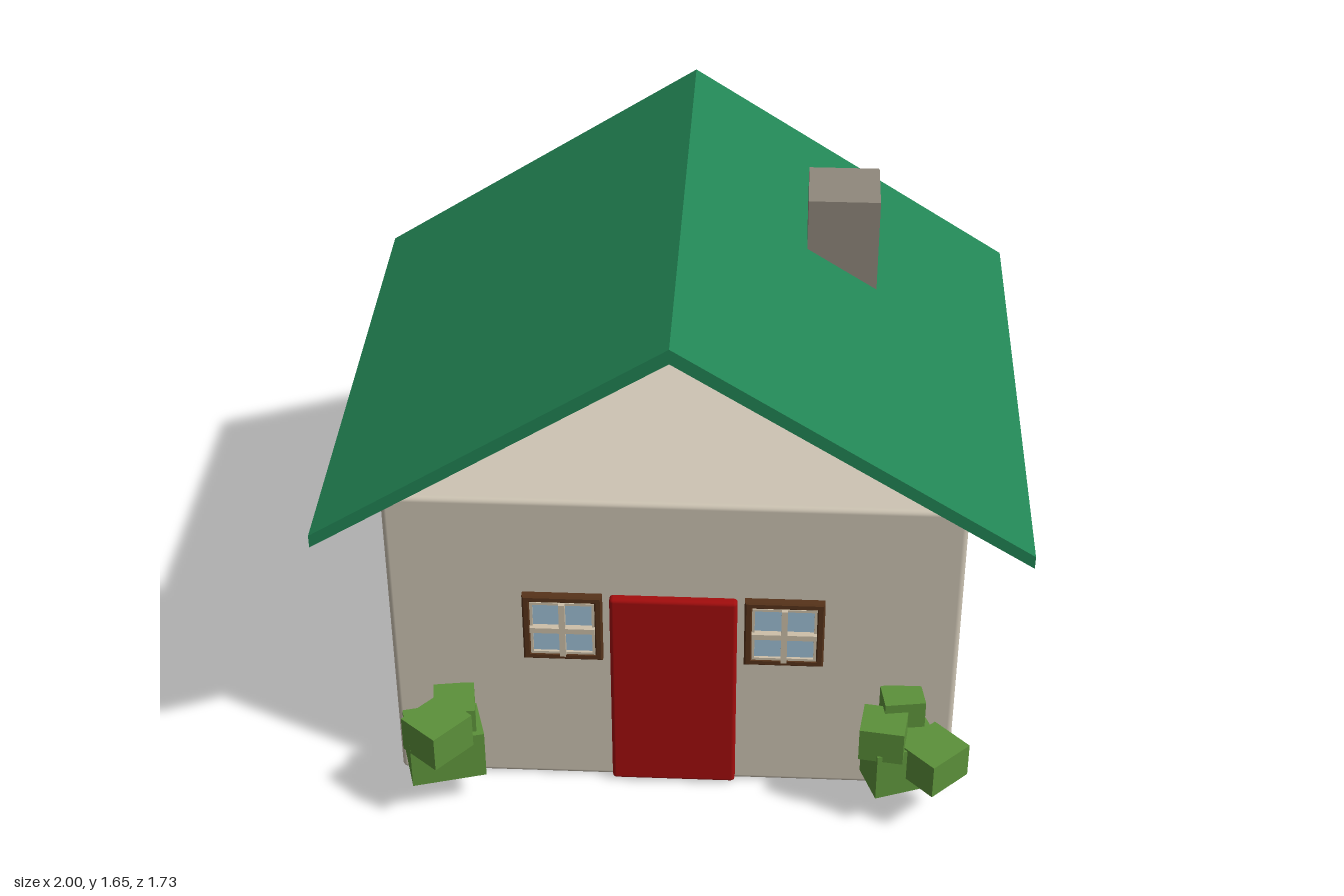
import * as THREE from 'three';
import { RoundedBoxGeometry } from 'three/addons/geometries/RoundedBoxGeometry.js';

const paint = (name, color) => {
  const m = new THREE.MeshStandardMaterial({ color });
  m.name = name;
  return m;
};

export function createModel() {
  const wall = paint('plaster', 0xcdc4b3);
  const green = paint('roof green', 0x228555);
  const stone = paint('chimney stone', 0x90887c);
  const red = paint('door red', 0xa30d0d);
  const brown = paint('frame brown', 0x56331a);
  const glass = paint('glass blue', 0x9fc0d6);
  const cream = paint('sash cream', 0xcdbfa8);
  const leaf = paint('leaf green', 0x5c913a);

  const house = new THREE.Group();
  house.name = 'house';

  const add = (parent, name, geometry, material, x = 0, y = 0, z = 0, yaw = 0) => {
    const mesh = new THREE.Mesh(geometry, material);
    mesh.name = name;
    mesh.position.set(x, y, z);
    mesh.rotation.y = yaw;
    parent.add(mesh);
    return mesh;
  };
  const box = (w, h, d) => new THREE.BoxGeometry(w, h, d);

  // Walls: one block with softened edges
  add(house, 'walls', new RoundedBoxGeometry(1.66, 1.025, 1.286, 2, 0.016), wall, 0, 0.5125, -0.043);

  // Roof: open chevron slab, without gable walls
  const chevron = new THREE.Shape([
    [-1, 0.975], [0, 1.61], [1, 0.975], [1, 1.015], [0, 1.655], [-1, 1.015],
  ].map(([x, y]) => new THREE.Vector2(x, y)));
  const roof = new THREE.ExtrudeGeometry(chevron, { depth: 1.642, bevelEnabled: false });
  add(house, 'roof', roof, green, 0, 0, -0.864);

  // Chimney rises from the top of the walls
  add(house, 'chimney', box(0.21, 0.573, 0.21), stone, 0.465, 1.298, -0.26);

  // Door
  add(house, 'door', new RoundedBoxGeometry(0.37, 0.69, 0.05, 2, 0.012), red, 0, 0.353, 0.6);

  // Windows: bevelled frame, pane and crossed bars
  const frameShape = new THREE.Shape();
  frameShape.moveTo(-0.111, -0.111).lineTo(0.111, -0.111).lineTo(0.111, 0.111).lineTo(-0.111, 0.111).closePath();
  const opening = new THREE.Path();
  opening.moveTo(-0.098, -0.098).lineTo(-0.098, 0.098).lineTo(0.098, 0.098).lineTo(0.098, -0.098).closePath();
  frameShape.holes.push(opening);
  const frame = new THREE.ExtrudeGeometry(frameShape, {
    depth: 0.024, bevelEnabled: true, bevelSize: 0.005, bevelThickness: 0.005, bevelSegments: 1,
  });
  for (const side of [-1, 1]) {
    const window = new THREE.Group();
    window.name = side > 0 ? 'leftWindow' : 'rightWindow';
    window.position.set(side * 0.322, 0.585, 0.595);
    add(window, 'windowFrame', frame, brown);
    add(window, 'windowPane', box(0.2, 0.2, 0.008), glass, 0, 0, 0.016);
    add(window, 'verticalBar', box(0.018, 0.19, 0.02), cream, 0, 0, 0.03);
    add(window, 'horizontalBar', box(0.19, 0.018, 0.02), cream, 0, 0, 0.03);
    for (const edge of [-1, 1]) {
      add(window, 'sashSide', box(0.008, 0.188, 0.012), cream, edge * 0.09, 0, 0.022);
      add(window, 'sashRail', box(0.188, 0.008, 0.012), cream, 0, edge * 0.09, 0.022);
    }
    house.add(window);
  }

  // Bushes: turned blocks as [width, height, depth, x, y, z, yaw]
  const bushes = {
    rightBush: [
      [0.22, 0.16, 0.16, -0.68, 0.19, 0.69, 0.28],
      [0.15, 0.115, 0.14, -0.685, 0.298, 0.765, 0.87],
      [0.12, 0.11, 0.13, -0.645, 0.295, 0.67, 0.15],
    ],
    leftBush: [
      [0.2, 0.16, 0.13, 0.675, 0.19, 0.69, 0.35],
      [0.13, 0.11, 0.12, 0.62, 0.305, 0.72, -0.14],
      [0.12, 0.09, 0.09, 0.675, 0.345, 0.64, 0.15],
      [0.15, 0.112, 0.14, 0.77, 0.22, 0.727, 0.77],
    ],
  };
  for (const [name, blocks] of Object.entries(bushes)) {
    const bush = new THREE.Group();
    bush.name = name;
    for (const [w, h, d, x, y, z, yaw] of blocks) add(bush, 'leafBlock', box(w, h, d), leaf, x, y, z, yaw);
    house.add(bush);
  }

  return house;
}
